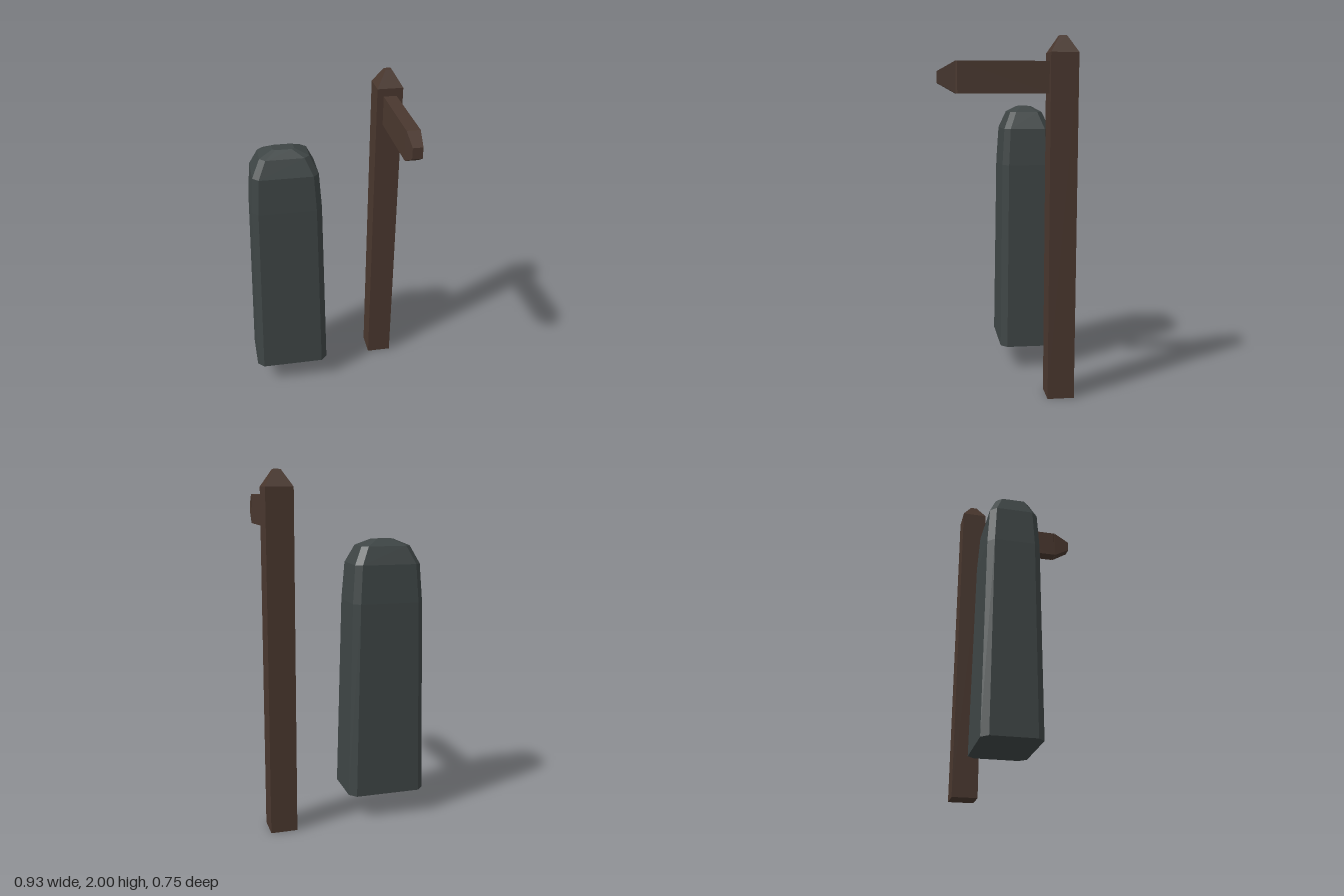
import * as THREE from 'three';

const wood = new THREE.MeshStandardMaterial({ color: 0x49372e });
wood.name = 'dark wood';
const slate = new THREE.MeshStandardMaterial({ color: 0x3e4545 });
slate.name = 'grey slate';

// Rectangle outline with optional cut corners, counter-clockwise from above
function outline(y, hx, hz, cut = 0) {
  const corners = [[1, 1], [1, -1], [-1, -1], [-1, 1]];
  return corners.flatMap(([sx, sz], i) => {
    if (!cut) return [[sx * hx, y, sz * hz]];
    const a = [sx * (hx - cut), y, sz * hz];
    const b = [sx * hx, y, sz * (hz - cut)];
    return i % 2 ? [b, a] : [a, b];
  });
}

// Closed solid through stacked sections [height, half width, half depth, corner cut]
function loft(sections) {
  const rings = sections.map((s) => outline(...s));
  const n = rings[0].length;
  const pos = [];
  const tri = (...pts) => pts.forEach((p) => pos.push(...p));
  for (let r = 0; r < rings.length - 1; r++) {
    for (let i = 0; i < n; i++) {
      const j = (i + 1) % n;
      const lo = rings[r], hi = rings[r + 1];
      tri(lo[i], lo[j], hi[j]);
      tri(lo[i], hi[j], hi[i]);
    }
  }
  const bottom = rings[0], top = rings[rings.length - 1];
  for (let i = 1; i < n - 1; i++) {
    tri(top[0], top[i], top[i + 1]);
    tri(bottom[0], bottom[i + 1], bottom[i]);
  }
  const geo = new THREE.BufferGeometry();
  geo.setAttribute('position', new THREE.Float32BufferAttribute(pos, 3));
  geo.computeVertexNormals();
  return geo;
}

function part(name, geo, material, x, y, z) {
  const mesh = new THREE.Mesh(geo, material);
  mesh.name = name;
  mesh.position.set(x, y, z);
  return mesh;
}

export function createModel() {
  const group = new THREE.Group();
  group.name = 'postAndStone';

  // Upright post with a blunt pyramid top
  group.add(part('post', loft([
    [0, 0.075, 0.075],
    [1.91, 0.075, 0.075],
    [2, 0.019, 0.019],
  ]), wood, 0.39, 0, -0.3));

  // Arm reaching forward, ending in a short bevel
  const arm = loft([
    [-0.23, 0.0375, 0.085],
    [0.265, 0.0375, 0.085],
    [0.275, 0.027, 0.083],
  ]).rotateX(Math.PI / 2);
  group.add(part('arm', arm, wood, 0.39, 1.78, 0));

  // Tapered cap on the end of the arm
  const tip = loft([
    [0.273, 0.0375, 0.085],
    [0.37, 0.028, 0.031],
  ]).rotateX(Math.PI / 2);
  group.add(part('armTip', tip, wood, 0.39, 1.78, 0));

  // Tapering block with cut corners and a rounded crown
  group.add(part('hangingStone', loft([
    [0.145, 0.228, 0.163, 0.038],
    [1.27, 0.206, 0.15, 0.036],
    [1.485, 0.191, 0.137, 0.034],
    [1.585, 0.143, 0.096, 0.032],
    [1.62, 0.062, 0.038, 0.015],
  ]), slate, -0.239, 0, -0.183));

  return group;
}
